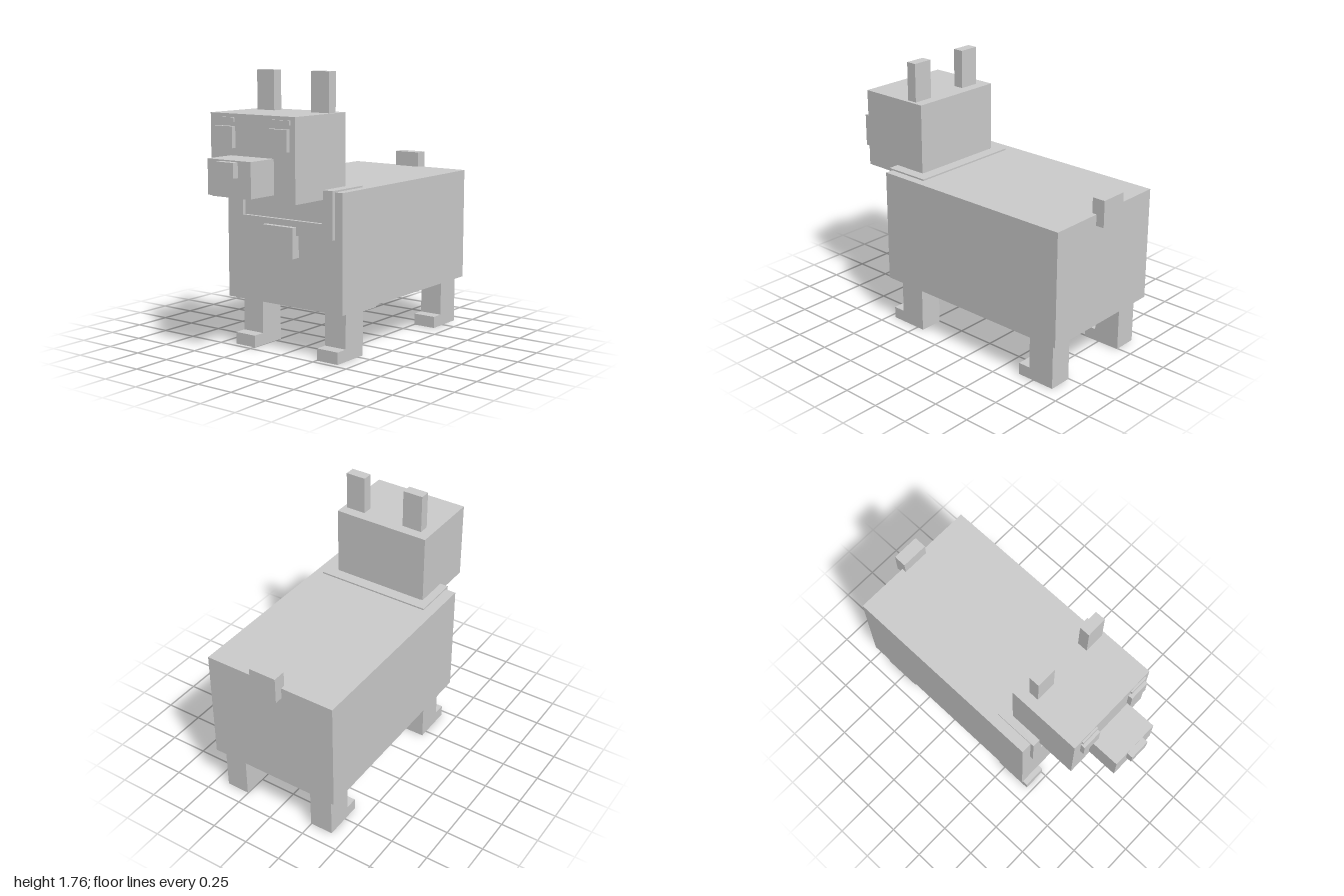
import * as THREE from 'three';

const material = new THREE.MeshStandardMaterial({ color: 0xcccccc, flatShading: true });

// Box given by its [min, max] extent along each axis
function block(parent, name, [x0, x1], [y0, y1], [z0, z1]) {
  const mesh = new THREE.Mesh(new THREE.BoxGeometry(x1 - x0, y1 - y0, z1 - z0), material);
  mesh.position.set((x0 + x1) / 2, (y0 + y1) / 2, (z0 + z1) / 2);
  mesh.name = name;
  parent.add(mesh);
}

function part(parent, name) {
  const group = new THREE.Group();
  group.name = name;
  parent.add(group);
  return group;
}

export function createModel() {
  const model = new THREE.Group();
  model.name = 'dog';

  // Body and tail
  block(model, 'body', [-0.453, 0.447], [0.31, 1.052], [-0.945, 0.465]);
  block(model, 'tail', [-0.095, 0.09], [0.98, 1.152], [-1, -0.914]);

  // Legs with a toe reaching forward
  for (const [end, z] of [['front', 0.2], ['back', -0.9]]) {
    for (const [side, x] of [['Right', -0.402], ['Left', 0.254]]) {
      const leg = part(model, `${end}${side}Leg`);
      block(leg, 'shank', [x, x + 0.156], [0, 0.31], [z, z + 0.18]);
      block(leg, 'toe', [x, x + 0.156], [0, 0.077], [z + 0.18, z + 0.262]);
    }
  }

  // Head with muzzle and nose
  const head = part(model, 'head');
  block(head, 'skull', [-0.327, 0.321], [1.004, 1.512], [0.263, 0.754]);
  block(head, 'muzzle', [-0.168, 0.162], [1.048, 1.262], [0.754, 0.96]);
  block(head, 'nose', [-0.071, 0.065], [1.163, 1.254], [0.96, 1]);

  // Paired ears, eyes and brows
  for (const [side, s] of [['right', -1], ['left', 1]]) {
    const pair = (name, centre, width, y, z) => {
      const x = centre[s < 0 ? 0 : 1];
      block(head, side + name, [x - width / 2, x + width / 2], y, z);
    };
    pair('Ear', [-0.19, 0.23], 0.135, [1.512, 1.76], [0.332, 0.401]);
    pair('Eye', [-0.2, 0.214], 0.135, [1.308, 1.438], [0.754, 0.783]);
    pair('Brow', [-0.2, 0.223], 0.127, [1.462, 1.49], [0.754, 0.766]);
  }

  // Collar: open frame over the chest, strips across the back, hanging tag
  const collar = part(model, 'collar');
  block(collar, 'chestBand', [-0.382, 0.392], [0.765, 0.857], [0.44, 0.49]);
  block(collar, 'rightBand', [-0.382, -0.308], [0.857, 1.062], [0.26, 0.49]);
  block(collar, 'leftBand', [0.314, 0.392], [0.857, 1.062], [0.26, 0.49]);
  block(collar, 'neckBand', [-0.382, 0.392], [0.98, 1.062], [0.183, 0.26]);
  block(collar, 'tag', [-0.122, 0.116], [0.625, 0.818], [0.46, 0.525]);

  return model;
}
